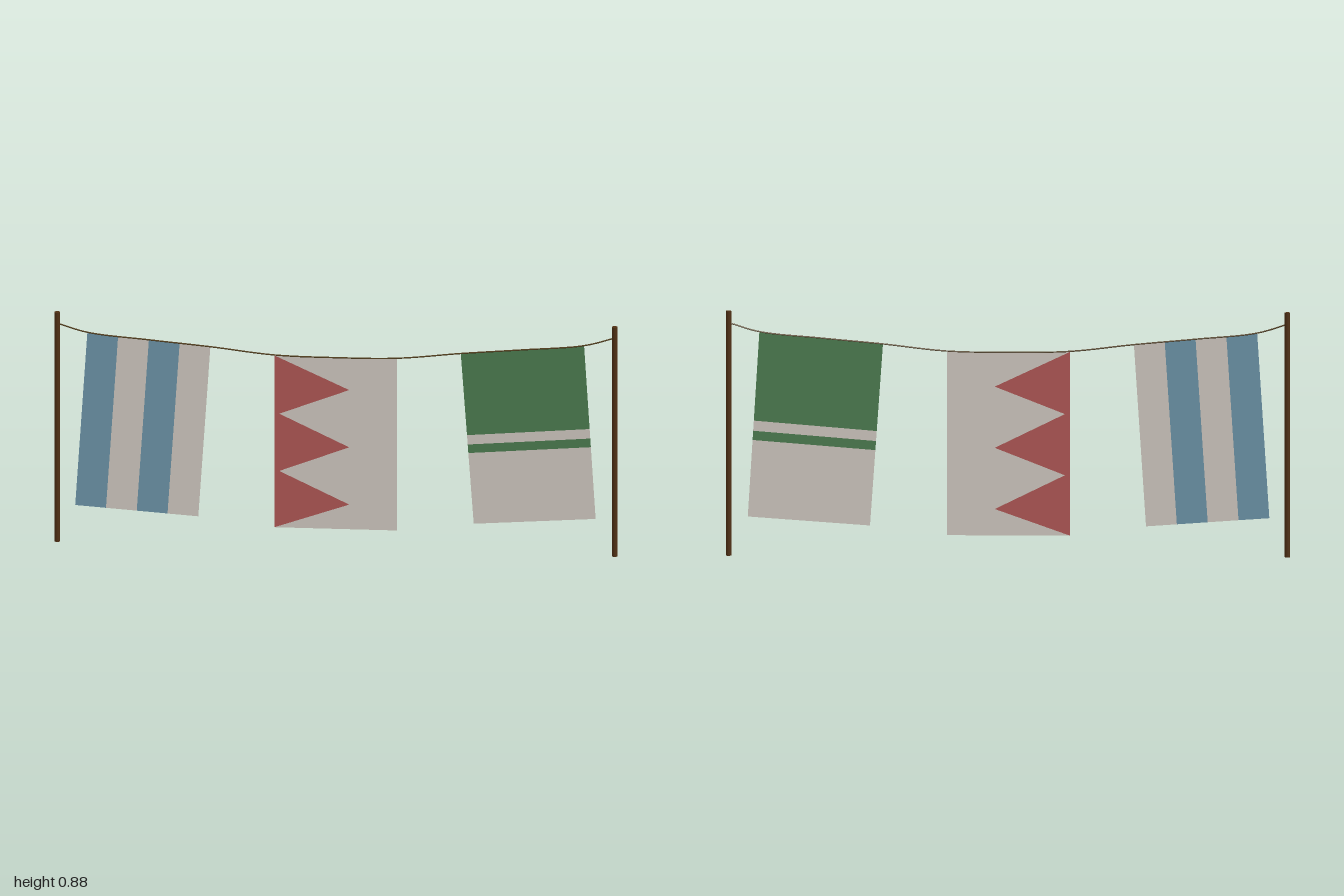
import * as THREE from 'three';

const paint = (name, color, side = THREE.FrontSide) => {
  const m = new THREE.MeshStandardMaterial({ color, side });
  m.name = name;
  return m;
};

export function createModel() {
  const wood = paint('dark wood', 0x4f2f13);
  const cord = paint('cord brown', 0x54401f);
  const cream = paint('cream cloth', 0xcfc8c0, THREE.DoubleSide);
  const blue = paint('blue cloth', 0x6c94a8, THREE.DoubleSide);
  const red = paint('red cloth', 0xb05755, THREE.DoubleSide);
  const green = paint('green cloth', 0x4c7c50, THREE.DoubleSide);

  const model = new THREE.Group();
  model.name = 'flagLine';

  // Two posts
  for (const [side, name] of [[1, 'leftPost'], [-1, 'rightPost']]) {
    const post = new THREE.Mesh(new THREE.CylinderGeometry(0.01, 0.01, 0.88, 12), wood);
    post.name = name;
    post.position.set(side * 0.99, 0.44, 0);
    model.add(post);
  }

  // Sagging rope between the posts
  const half = [[0.99, 0.838], [0.883, 0.806], [0.66, 0.783], [0.445, 0.763], [0.218, 0.738]];
  const ropePoints = [
    ...half.map(([x, y]) => new THREE.Vector3(-x, y, 0)),
    new THREE.Vector3(0, 0.734, 0),
    ...half.slice().reverse().map(([x, y]) => new THREE.Vector3(x, y, 0)),
  ];
  const rope = new THREE.Mesh(
    new THREE.TubeGeometry(new THREE.CatmullRomCurve3(ropePoints), 64, 0.0027, 5), cord);
  rope.name = 'rope';
  model.add(rope);

  // A flag is a quad (bottom left, bottom right, top right, top left)
  // filled with patches outlined in its own 0..1 coordinates
  const addFlag = (name, [bl, br, tr, tl], patches) => {
    const flag = new THREE.Group();
    flag.name = name;
    patches.forEach(([patchName, material, outline]) => {
      const shape = new THREE.Shape(outline.map(([u, v]) => new THREE.Vector2(u, v)));
      const geo = new THREE.ShapeGeometry(shape);
      const pos = geo.attributes.position;
      for (let i = 0; i < pos.count; i++) {
        const u = pos.getX(i), v = pos.getY(i);
        const at = (k) => (1 - v) * ((1 - u) * bl[k] + u * br[k]) + v * ((1 - u) * tl[k] + u * tr[k]);
        pos.setXYZ(i, at(0), at(1), 0);
      }
      geo.computeVertexNormals();
      const mesh = new THREE.Mesh(geo, material);
      mesh.name = patchName;
      flag.add(mesh);
    });
    model.add(flag);
  };
  const rect = (u0, v0, u1, v1) => [[u0, v0], [u1, v0], [u1, v1], [u0, v1]];

  // Blue and cream upright stripes
  addFlag('stripedFlag',
    [[-0.926, 0.14], [-0.489, 0.109], [-0.446, 0.763], [-0.883, 0.804]],
    [0, 1, 2, 3].map((i) => [
      i % 2 ? 'creamStripe' : 'blueStripe', i % 2 ? cream : blue,
      rect(i / 4, 0, (i + 1) / 4, 1),
    ]));

  // Red sawtooth band beside a cream field
  const teeth = [[0, 0]];
  for (let i = 0; i < 3; i++) {
    teeth.push([0.61, (i + 0.43) / 3]);
    teeth.push([i < 2 ? 0.04 : 0, (i + 1) / 3 - (i < 2 ? 0.005 : 0)]);
  }
  addFlag('toothedFlag',
    [[-0.219, 0.075], [0.217, 0.075], [0.217, 0.736], [-0.219, 0.736]],
    [
      ['redTeeth', red, teeth],
      ['creamField', cream, [...teeth, [1, 1], [1, 0]].reverse()],
    ]);

  // Green upper half with a second thin green band
  const bands = [0, 0.415, 0.465, 0.52, 1];
  addFlag('bandedFlag',
    [[0.489, 0.109], [0.922, 0.14], [0.881, 0.804], [0.443, 0.763]],
    bands.slice(1).map((top, i) => [
      i % 2 ? 'greenBand' : 'creamBand', i % 2 ? green : cream, rect(0, bands[i], 1, top),
    ]));

  return model;
}
